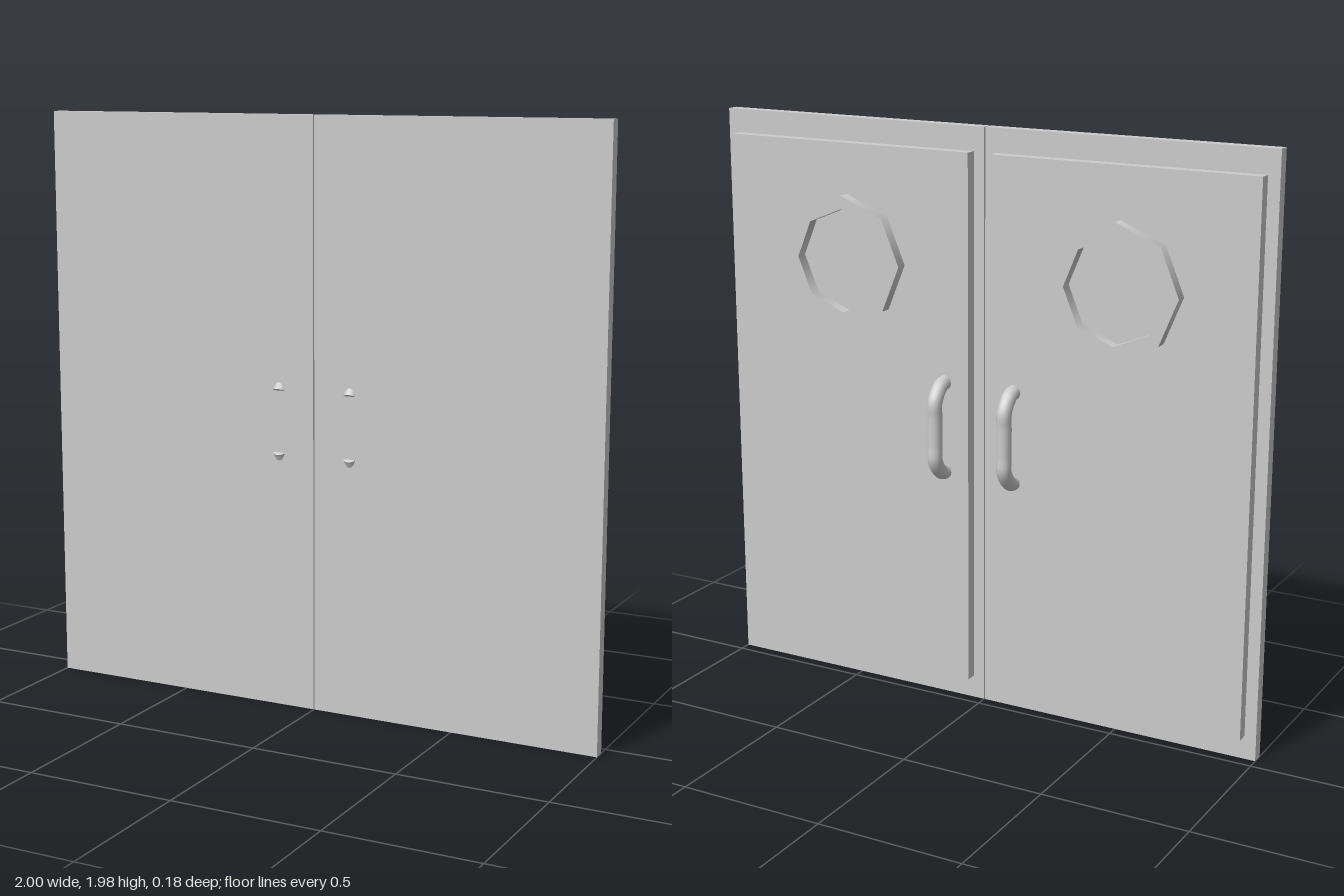
import * as THREE from 'three';

const material = new THREE.MeshStandardMaterial({ color: 0xcccccc });
const thin = new THREE.MeshStandardMaterial({ color: 0xcccccc, side: THREE.DoubleSide });

function add(parent, name, geometry, mat = material) {
  const mesh = new THREE.Mesh(geometry, mat);
  mesh.name = name;
  parent.add(mesh);
  return mesh;
}

// Octagonal window frame, standing out towards -z
function createWindowFrame() {
  const frame = new THREE.Group();
  frame.name = 'windowFrame';
  const outer = 0.22, inner = 0.175, depth = 0.04;
  for (const [name, r] of [['outerWall', outer], ['innerWall', inner]]) {
    const wall = new THREE.CylinderGeometry(r, r, depth, 8, 1, true).rotateX(Math.PI / 2);
    add(frame, name, wall, thin).position.z = -depth / 2;
  }
  add(frame, 'rim', new THREE.RingGeometry(inner, outer, 8).rotateY(Math.PI), thin).position.z = -depth;
  return frame;
}

// Bent pull handle whose ends run through the door
function createHandle() {
  const handle = new THREE.Group();
  handle.name = 'handle';
  const half = [[0.155, 0], [0.098, 0.07], [0.145, 0.04], [0.155, 0], [0.147, -0.028], [0.1, -0.064], [0.05, -0.064]].slice(1);
  const points = [
    ...half.map(([y, z]) => new THREE.Vector3(0, y, z)),
    ...half.map(([y, z]) => new THREE.Vector3(0, -y, z)).reverse(),
  ];
  const path = new THREE.CatmullRomCurve3(points);
  add(handle, 'grip', new THREE.TubeGeometry(path, 48, 0.025, 16));
  // End caps
  for (const t of [0, 1]) {
    const cap = add(handle, 'gripEnd', new THREE.CircleGeometry(0.025, 16), thin);
    cap.position.copy(path.getPointAt(t));
    cap.quaternion.setFromUnitVectors(new THREE.Vector3(0, 0, 1), path.getTangentAt(t));
  }
  return handle;
}

// One door leaf; side is +1 for left and -1 for right
function createDoor(side) {
  const door = new THREE.Group();
  door.name = side > 0 ? 'leftDoor' : 'rightDoor';

  add(door, 'frontPanel', new THREE.BoxGeometry(0.998, 1.98, 0.04)).position.set(side * 0.501, 0.99, 0.06);
  add(door, 'backPanel', new THREE.BoxGeometry(0.92, 1.82, 0.04)).position.set(side * 0.5, 0.99, 0.02);

  const frame = createWindowFrame();
  frame.position.set(side * 0.5, 1.51, 0);
  const handle = createHandle();
  handle.position.set(side * 0.13, 0.975, 0);
  door.add(frame, handle);
  return door;
}

export function createModel() {
  const model = new THREE.Group();
  model.name = 'doubleDoor';
  for (const side of [1, -1]) model.add(createDoor(side));
  return model;
}
